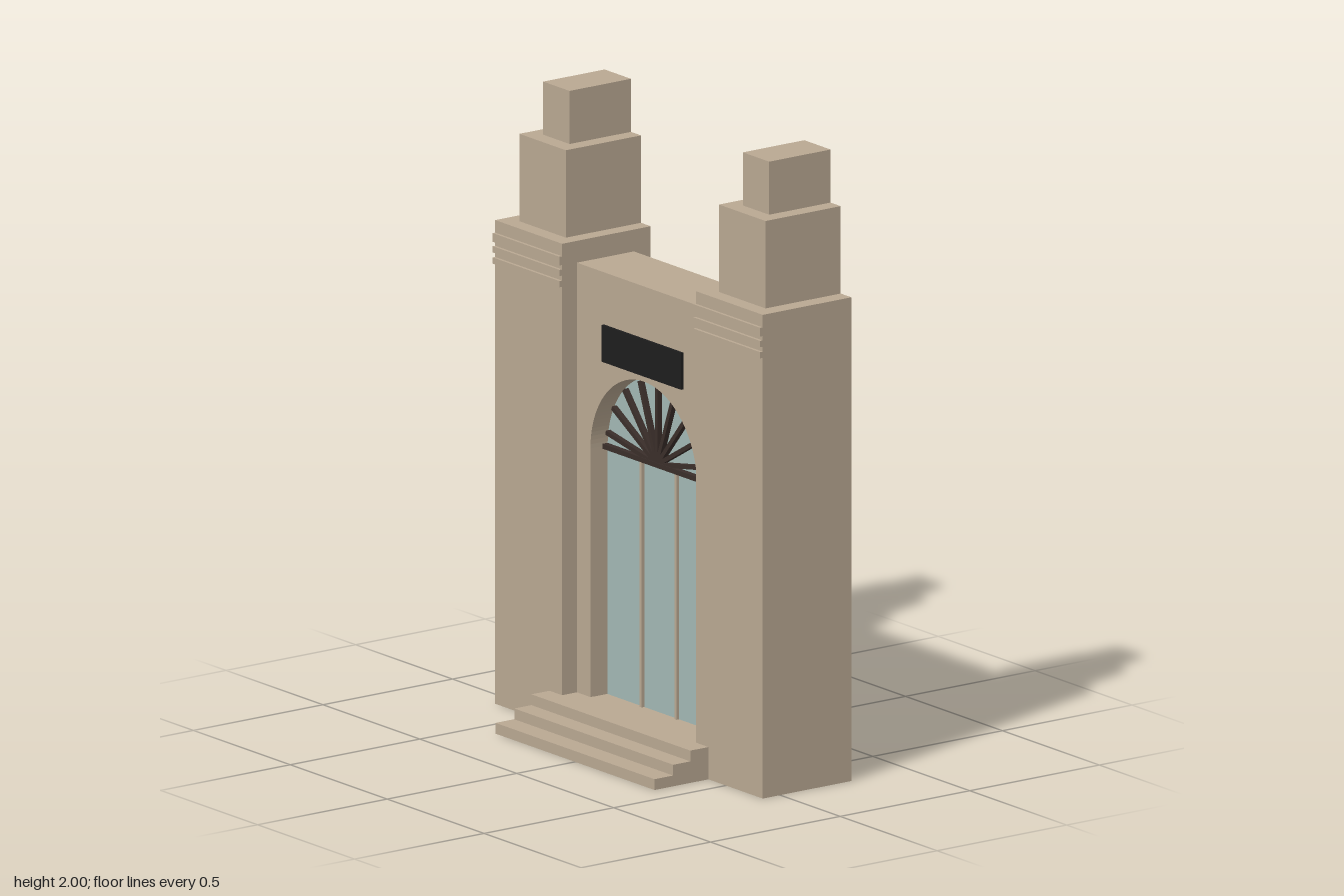
import * as THREE from 'three';

const mat = (name, color) => Object.assign(new THREE.MeshStandardMaterial({ color }), { name });

export function createModel() {
  const stone = mat('stone', 0xb9a892);
  const glass = mat('paleGlass', 0xa2b8b4);
  const bronze = mat('darkBronze', 0x3a2e2a);
  const black = mat('signBlack', 0x1e1e1e);
  const model = new THREE.Group();
  model.name = 'archedEntrance';

  const add = (parent, name, geometry, material) => {
    const mesh = new THREE.Mesh(geometry, material);
    mesh.name = name;
    parent.add(mesh);
    return mesh;
  };
  // Box given by its limits on each axis
  const box = (parent, name, material, [x0, x1], [y0, y1], [z0, z1]) => {
    const g = new THREE.BoxGeometry(x1 - x0, y1 - y0, z1 - z0);
    g.translate((x0 + x1) / 2, (y0 + y1) / 2, (z0 + z1) / 2);
    return add(parent, name, g, material);
  };
  // Round-headed outline of the doorway
  const archOutline = (path, r, sill, spring) => {
    path.moveTo(-r, sill);
    path.lineTo(r, sill);
    path.lineTo(r, spring);
    path.absarc(0, spring, r, 0, Math.PI, false);
    path.lineTo(-r, sill);
    return path;
  };

  // Stepped towers with three moulding bands on the front
  for (const side of [-1, 1]) {
    const tower = new THREE.Group();
    tower.name = side > 0 ? 'leftTower' : 'rightTower';
    const span = (a, b) => (side > 0 ? [a, b] : [-b, -a]);
    box(tower, 'towerShaft', stone, span(0.345, 0.69), [0, 1.55], [-0.275, 0.067]);
    box(tower, 'towerMiddle', stone, span(0.395, 0.635), [1.55, 1.83], [-0.275, 0.015]);
    box(tower, 'towerTop', stone, span(0.447, 0.583), [1.83, 2], [-0.275, -0.038]);
    for (const [y0, y1] of [[1.412, 1.432], [1.448, 1.468], [1.482, 1.51]]) {
      box(tower, 'mouldingBand', stone, span(0.345, 0.69), [y0, y1], [0.067, 0.077]);
    }
    model.add(tower);
  }

  // Wall with the arched opening, and the deeper lintel on top
  const wallShape = new THREE.Shape([
    new THREE.Vector2(-0.345, 0), new THREE.Vector2(0.345, 0),
    new THREE.Vector2(0.345, 1.385), new THREE.Vector2(-0.345, 1.385),
  ]);
  wallShape.holes.push(archOutline(new THREE.Path(), 0.275, 0.103, 0.9));
  const wall = new THREE.ExtrudeGeometry(wallShape, { depth: 0.11, bevelEnabled: false, curveSegments: 32 });
  wall.translate(0, 0, -0.1);
  add(model, 'archedWall', wall, stone);
  box(model, 'lintel', stone, [-0.345, 0.345], [1.385, 1.48], [-0.21, 0.01]);

  // Front steps
  [0.275, 0.203, 0.137].forEach((z, i) => {
    box(model, 'step', stone, [-0.41, 0.41], [i * 0.0345, (i + 1) * 0.0345], [0, z]);
  });

  // Glazing
  const pane = new THREE.ExtrudeGeometry(
    archOutline(new THREE.Shape(), 0.273, 0.103, 0.9),
    { depth: 0.01, bevelEnabled: false, curveSegments: 32 });
  pane.translate(0, 0, -0.065);
  add(model, 'doorGlass', pane, glass);
  for (const x of [-0.09, 0.09]) {
    box(model, 'doorMullion', stone, [x - 0.006, x + 0.006], [0.103, 0.895], [-0.056, -0.045]);
  }

  // Fanlight bars
  const fan = new THREE.Group();
  fan.name = 'fanlight';
  box(fan, 'transom', bronze, [-0.274, 0.274], [0.892, 0.908], [-0.056, -0.036]);
  for (let i = 0; i < 9; i++) {
    const spoke = new THREE.BoxGeometry(0.265, 0.014, 0.018);
    spoke.translate(0.1325, 0, 0);
    const mesh = add(fan, 'fanSpoke', spoke, bronze);
    mesh.position.set(0, 0.9, -0.047);
    mesh.rotation.z = THREE.MathUtils.degToRad(10 + i * 20);
  }
  model.add(fan);

  // Blank sign plate above the arch
  box(model, 'signPlate', black, [-0.205, 0.205], [1.195, 1.313], [0.01, 0.019]);

  return model;
}
